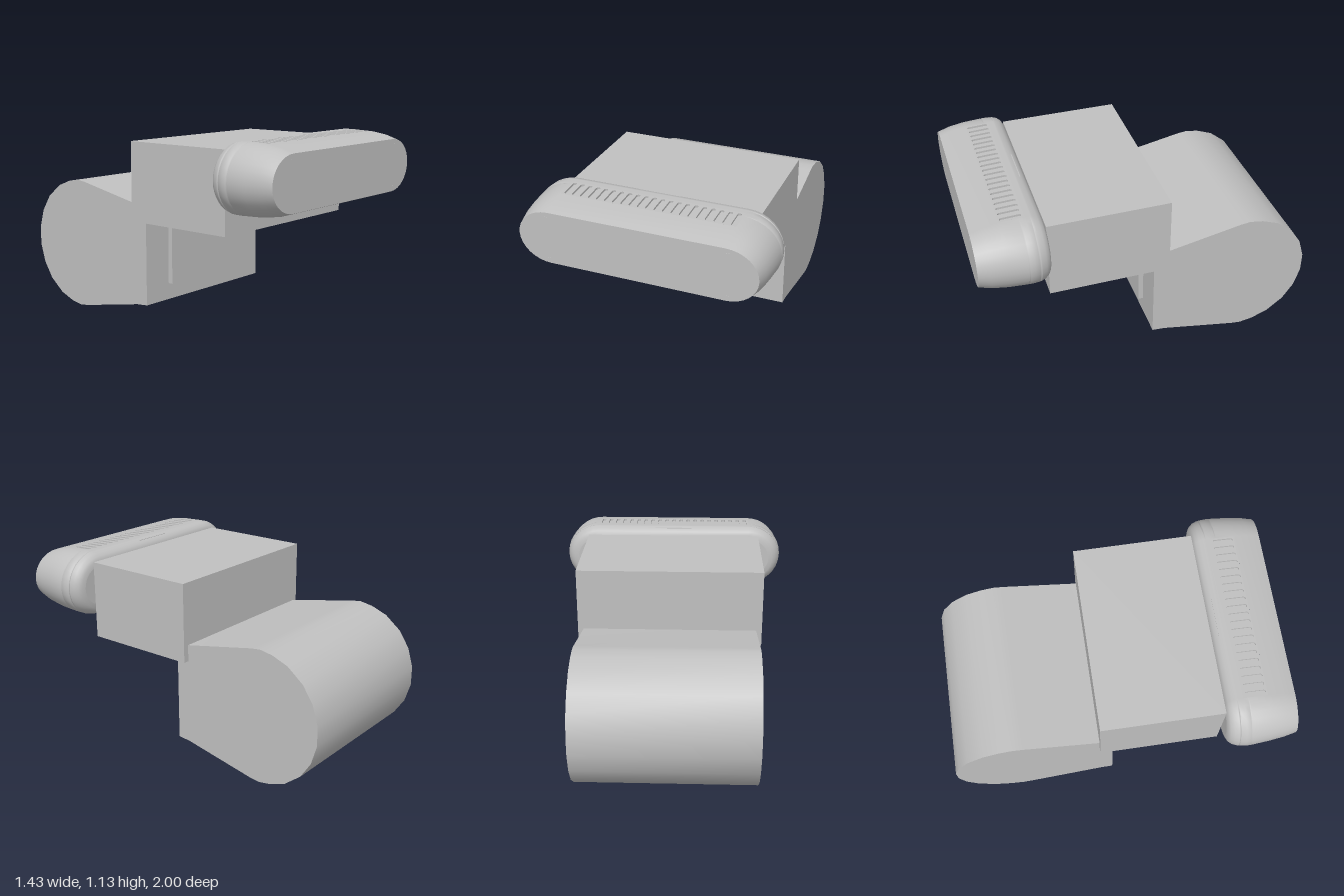
import * as THREE from 'three';
import { toCreasedNormals } from 'three/addons/utils/BufferGeometryUtils.js';

const grey = new THREE.MeshStandardMaterial({ color: 0xc0c0c0 });
grey.name = 'light grey';

function add(parent, name, geometry) {
  const mesh = new THREE.Mesh(geometry, grey);
  mesh.name = name;
  parent.add(mesh);
  return mesh;
}

// box given by its lowest and highest corners
function block(parent, name, [x0, y0, z0], [x1, y1, z1]) {
  const m = add(parent, name, new THREE.BoxGeometry(x1 - x0, y1 - y0, z1 - z0));
  m.position.set((x0 + x1) / 2, (y0 + y1) / 2, (z0 + z1) / 2);
  return m;
}

const HALF = 0.5, MID = 0.929, ARC = 16;

// stadium outline: straight top and bottom, elliptical ends
function ring({ rx, ry, groove = 0 }) {
  const pts = [];
  for (const side of [1, -1]) {
    for (let i = 0; i <= ARC; i++) {
      const a = side * (-Math.PI / 2 + (Math.PI * i) / ARC);
      const k = Math.cos(a) > 0.3 ? 1 - groove : 1;
      pts.push([side * (HALF + rx * k * Math.cos(a)), MID + ry * k * Math.sin(a)]);
    }
  }
  return pts;
}

function createNozzle() {
  const nozzle = new THREE.Group();
  nozzle.name = 'nozzle';
  const st = (z, rx, ry, groove, open) => ({ z, rx, ry, groove, open });
  // stations from back to front; "open" leaves room for the vent panel
  const stations = [
    st(0.6, 0.135, 0.125), st(0.604, 0.16, 0.153), st(0.615, 0.18, 0.173),
    st(0.635, 0.197, 0.189), st(0.66, 0.207, 0.197), st(0.666, 0.208, 0.198),
    st(0.67, 0.208, 0.198, 0.05), st(0.674, 0.21, 0.198), st(0.7, 0.213, 0.198, 0, true),
    st(0.726, 0.215, 0.1969, 0, true), st(0.73, 0.215, 0.1967, 0.05, true),
    st(0.734, 0.215, 0.1965, 0, true), st(0.84, 0.206, 0.192), st(0.93, 0.195, 0.178),
    st(1, 0.18, 0.155),
  ];
  const rings = stations.map(ring);
  const n = rings[0].length, pos = [], idx = [];
  rings.forEach((r, i) => r.forEach(([x, y]) => pos.push(x, y, stations[i].z)));
  for (let i = 0; i < rings.length - 1; i++) {
    for (let j = 0; j < n; j++) {
      if (stations[i].open && j === ARC) continue;
      const k = (j + 1) % n, a = i * n + j, b = i * n + k;
      idx.push(a, b, b + n, a, b + n, a + n);
    }
  }
  const shell = new THREE.BufferGeometry();
  shell.setAttribute('position', new THREE.Float32BufferAttribute(pos, 3));
  shell.setIndex(idx);
  shell.computeVertexNormals();
  add(nozzle, 'nozzleShell', shell);

  // flat front and back faces
  const face = (r) => new THREE.ShapeGeometry(new THREE.Shape(r.map(([x, y]) => new THREE.Vector2(x, y))));
  add(nozzle, 'frontFace', face(rings[rings.length - 1])).position.z = 1;
  add(nozzle, 'backFace', face(rings[0]).rotateY(Math.PI)).position.z = 0.6;

  // slotted vent panel set into the top
  const vent = new THREE.Group();
  vent.name = 'ventPanel';
  vent.position.set(0, MID + 0.198, 0.7);
  vent.rotation.x = Math.atan(0.006 / 0.14);
  const panel = new THREE.Shape();
  panel.moveTo(-HALF, 0).lineTo(HALF, 0).lineTo(HALF, 0.1401).lineTo(-HALF, 0.1401).closePath();
  const w = 0.011;
  for (let i = 0; i < 21; i++) {
    const x = -0.477 + i * 0.0477;
    const slot = new THREE.Path();
    slot.absarc(x, 0.012 + w, w, Math.PI, 2 * Math.PI, false);
    slot.absarc(x, 0.132 - w, w, 0, Math.PI, false);
    slot.closePath();
    panel.holes.push(slot);
  }
  add(vent, 'slottedPlate', new THREE.ExtrudeGeometry(panel,
    { depth: 0.012, bevelEnabled: false, curveSegments: 5 }).rotateX(Math.PI / 2));
  block(vent, 'ventFloor', [-HALF, -0.018, 0], [HALF, -0.0115, 0.14]);
  nozzle.add(vent);

  // small latch strip behind the vent and pin slots on the front
  block(nozzle, 'latchStrip', [-0.12, 1.114, 0.636], [0.12, 1.121, 0.642]);
  for (const x of [-0.51, 0.51]) {
    for (const y of [0.803, 1.055]) {
      block(nozzle, 'pinSlot', [x - 0.01, y - 0.003, 0.998], [x + 0.01, y + 0.003, 1.001]);
    }
  }
  return nozzle;
}

export function createModel() {
  const model = new THREE.Group();
  model.name = 'model';

  // rounded drum with a tapering front, profile as [z, y], mirrored about its mid height
  const top = [[-0.03, 0.7], [-0.11, 0.707], [-0.56, 0.796], [-0.62, 0.803], [-0.7, 0.79],
    [-0.8, 0.752], [-0.9, 0.673], [-0.965, 0.575], [-1, 0.46]];
  const bottom = top.map(([z, y]) => [z, 0.803 - y]).reverse();
  const profile = new THREE.Shape([...top, ...bottom].map(([z, y]) => new THREE.Vector2(-z, y)));
  const drum = new THREE.ExtrudeGeometry(profile, { depth: 1.05, bevelEnabled: false });
  drum.rotateY(Math.PI / 2).translate(-0.525, 0, 0);
  add(model, 'drum', toCreasedNormals(drum, Math.PI / 5));

  // raised plate on the drum front and the box-shaped duct above it
  block(model, 'frontPlate', [-0.335, 0.203, -0.03], [0.335, 0.61, 0]);
  block(model, 'duct', [-0.56, 0.608, -0.11], [0.56, 1.08, 0.6]);

  model.add(createNozzle());
  return model;
}
